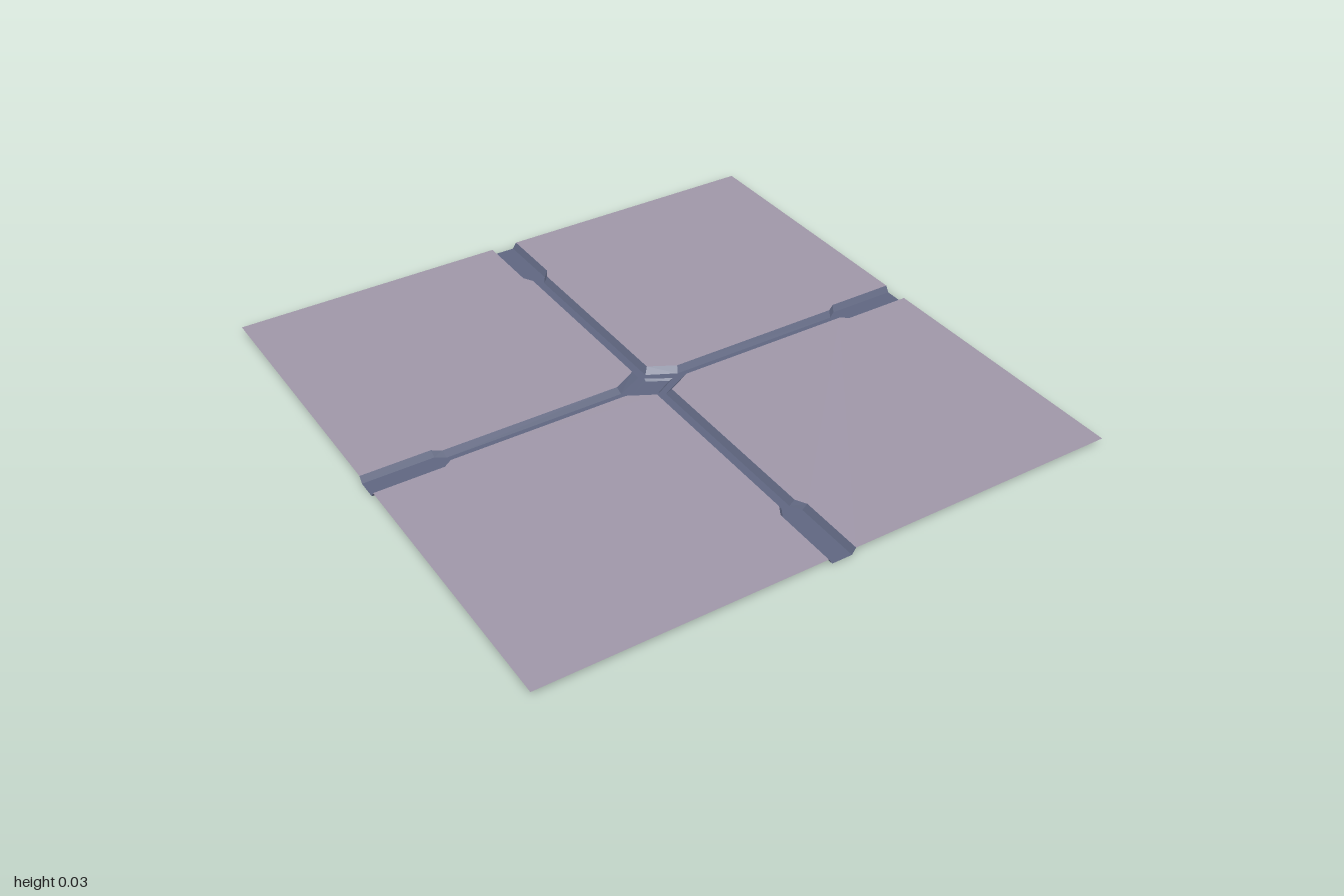
import * as THREE from 'three';

const TOP = 0.027, FLOOR = 0.006, PIT = 0;

// One quadrant's groove edge at plate level and at floor level, as [x, z]
const rim = [[1, 0.048], [0.765, 0.048], [0.735, 0.028], [0.115, 0.028], [0.028, 0.075],
  [0.028, 0.735], [0.048, 0.77], [0.048, 1]];
const bed = [[1, 0.035], [0.76, 0.035], [0.73, 0.014], [0.108, 0.014], [0.014, 0.062],
  [0.014, 0.73], [0.035, 0.765], [0.035, 1]];
const pitRim = [[0.08, 0], [0, 0.046]];
const pitBed = [[0.066, 0], [0, 0.037]];

const at = (points, y) => points.map(([x, z]) => [x, y, z]);

// Triangles of a flat polygon
function polygon(points, y) {
  const p = at(points, y);
  const contour = points.map(([x, z]) => new THREE.Vector2(x, z));
  return THREE.ShapeUtils.triangulateShape(contour, []).map(t => t.map(i => p[i]));
}

// Sloping strip between two edges
function strip(upper, yUpper, lower, yLower) {
  const a = at(upper, yUpper), b = at(lower, yLower), out = [];
  for (let i = 0; i < a.length - 1; i++) {
    out.push([a[i], b[i], a[i + 1]], [b[i], b[i + 1], a[i + 1]]);
  }
  return out;
}

// Mirror a quadrant's triangles to all four, with every face turned upward
function mirrored(triangles) {
  const positions = [];
  for (const sx of [1, -1]) for (const sz of [1, -1]) {
    for (const t of triangles) {
      const [a, b, c] = t.map(([x, y, z]) => new THREE.Vector3(x * sx, y, z * sz));
      const up = b.clone().sub(a).cross(c.clone().sub(a)).y > 0;
      for (const v of up ? [a, b, c] : [a, c, b]) positions.push(v.x, v.y, v.z);
    }
  }
  const geometry = new THREE.BufferGeometry();
  geometry.setAttribute('position', new THREE.Float32BufferAttribute(positions, 3));
  geometry.computeVertexNormals();
  return geometry;
}

export function createModel() {
  const group = new THREE.Group();
  group.name = 'groovedFloorTile';
  const plate = new THREE.MeshStandardMaterial({ color: 0x9f96a8, side: THREE.DoubleSide, flatShading: true });
  plate.name = 'mauve plate';
  const channel = new THREE.MeshStandardMaterial({ color: 0x5f6680, side: THREE.DoubleSide, flatShading: true });
  channel.name = 'slate blue channel';

  const add = (name, triangles, material) => {
    const mesh = new THREE.Mesh(mirrored(triangles), material);
    mesh.name = name;
    group.add(mesh);
  };

  // Four thin plates
  add('plates', polygon([[1, 1], ...rim], TOP), plate);
  // Sunken cross with widened ends and a diamond junction
  add('channelWalls', strip(rim, TOP, bed, FLOOR), channel);
  add('channelFloor', polygon([[1, 0], ...bed, [0, 1], pitRim[1], pitRim[0]], FLOOR), channel);
  // Shallow diamond recess in the middle
  add('diamondWalls', strip(pitRim, FLOOR, pitBed, PIT), channel);
  add('diamondFloor', polygon([[0, 0], ...pitBed], PIT), channel);
  return group;
}
